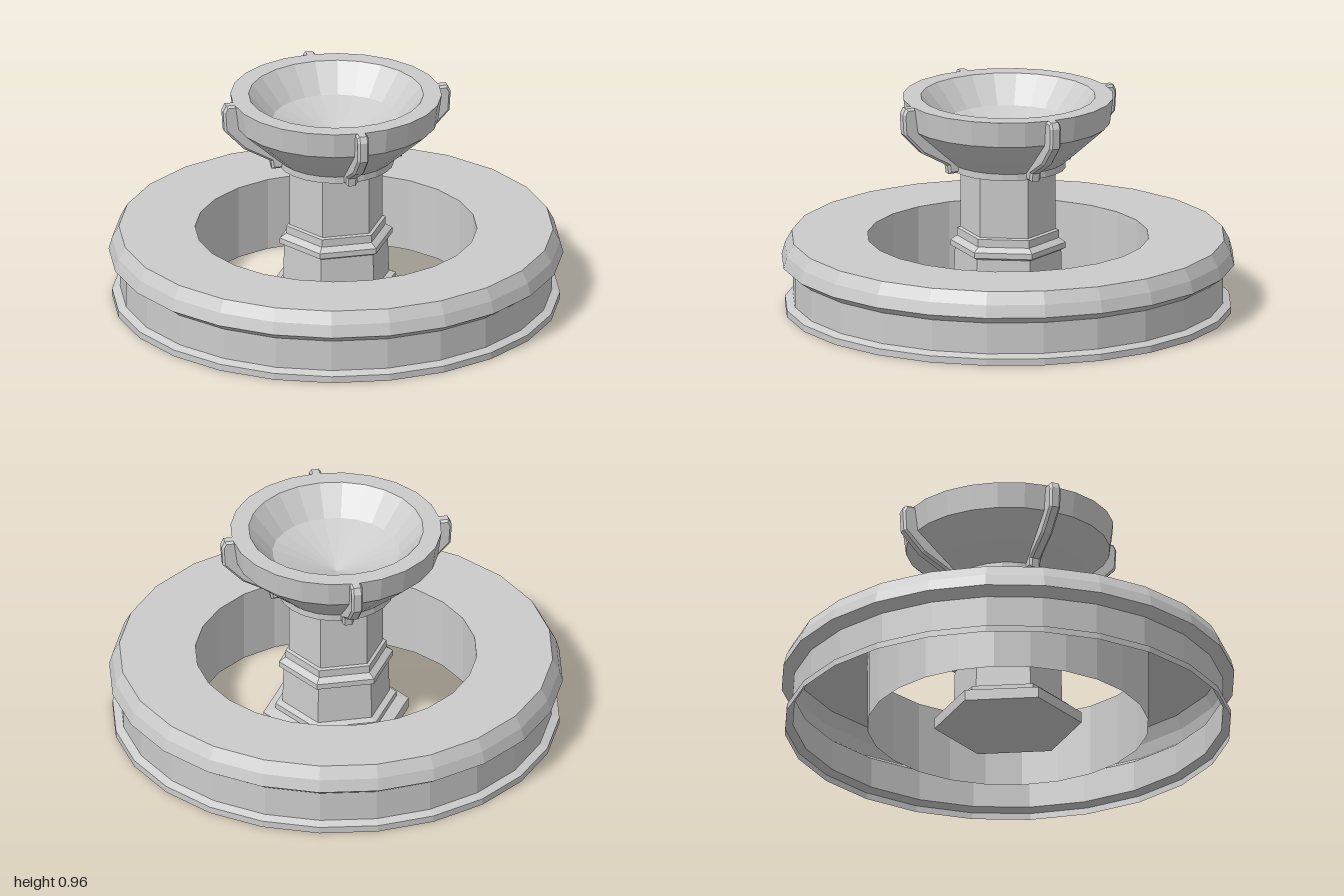
import * as THREE from 'three';

const solid = new THREE.MeshStandardMaterial({ color: 0xcccccc, flatShading: true });
const open = new THREE.MeshStandardMaterial({ color: 0xcccccc, flatShading: true, side: THREE.DoubleSide });

// Revolved part from [radius, height] pairs
function turned(name, profile, sides, material, start = 0) {
  const points = profile.map(([r, y]) => new THREE.Vector2(r, y));
  const mesh = new THREE.Mesh(new THREE.LatheGeometry(points, sides, start), material);
  mesh.name = name;
  return mesh;
}

export function createModel() {
  const model = new THREE.Group();
  model.name = 'pedestalBowl';

  // Ring, hollow underneath
  model.add(turned('ring', [
    [0.985, 0], [0.985, 0.03], [0.95, 0.045], [0.95, 0.185], [1, 0.22],
    [0.985, 0.275], [0.955, 0.33], [0.62, 0.33], [0.62, 0],
  ], 24, open));

  // Six-sided pedestal with a stepped foot and a collar
  model.add(turned('pedestal', [
    [0, 0], [0.325, 0], [0.325, 0.05], [0.27, 0.065], [0.27, 0.09], [0.24, 0.1],
    [0.235, 0.27], [0.255, 0.28], [0.255, 0.305], [0.225, 0.325],
    [0.225, 0.36], [0.21, 0.365], [0.21, 0.66], [0, 0.66],
  ], 6, solid, Math.PI / 2));

  // Bowl with a shallow conical inside
  model.add(turned('bowl', [
    [0, 0.645], [0.255, 0.645], [0.255, 0.675], [0.34, 0.75], [0.45, 0.85],
    [0.465, 0.965], [0.385, 0.965], [0.28, 0.845], [0, 0.745],
  ], 24, solid));

  // Four chamfered fins hugging the outside of the bowl
  const outline = [
    [0.23, 0.655], [0.285, 0.655], [0.29, 0.69], [0.415, 0.76], [0.5, 0.85],
    [0.505, 0.935], [0.495, 0.955], [0.44, 0.955], [0.43, 0.85], [0.32, 0.75], [0.24, 0.68],
  ].map(([x, y]) => new THREE.Vector2(x, y));
  const finGeometry = new THREE.ExtrudeGeometry(new THREE.Shape(outline), {
    depth: 0.032, bevelEnabled: true, bevelThickness: 0.01, bevelSize: 0.01, bevelSegments: 1,
  }).translate(0, 0, -0.016);
  for (let i = 0; i < 4; i++) {
    const fin = new THREE.Mesh(finGeometry, solid);
    fin.name = 'bowlFin' + (i + 1);
    fin.rotation.y = (i * Math.PI) / 2;
    model.add(fin);
  }

  return model;
}
